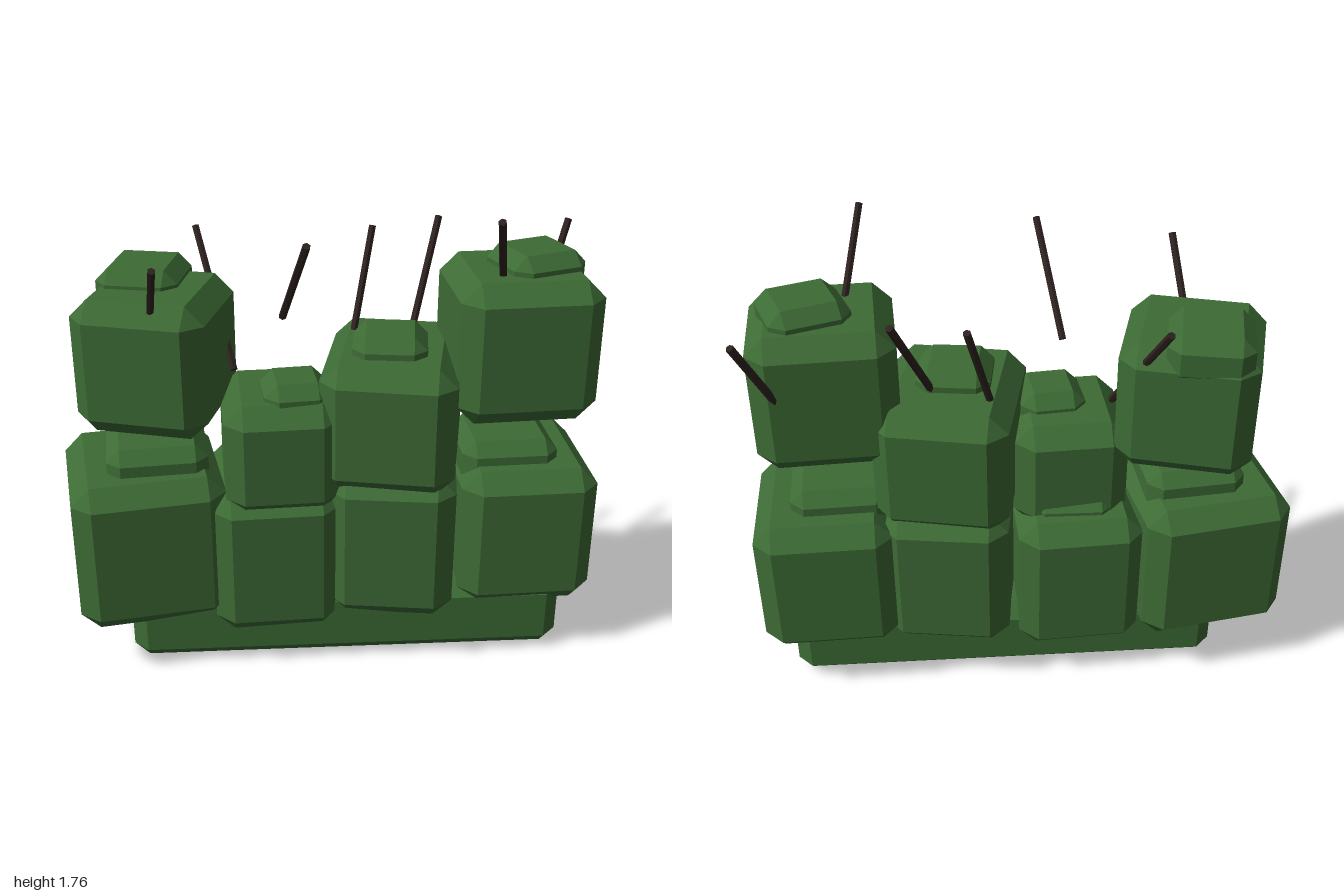
import * as THREE from 'three';
import { ConvexGeometry } from 'three/addons/geometries/ConvexGeometry.js';

const leafMat = new THREE.MeshStandardMaterial({ color: 0x3d6b35, flatShading: true });
const twigMat = new THREE.MeshStandardMaterial({ color: 0x2e2220, flatShading: true });

// Box with all edges cut at 45 degrees
function chamferBox(w, h, d, c) {
  const pts = [];
  for (const sx of [-0.5, 0.5]) for (const sy of [-0.5, 0.5]) for (const sz of [-0.5, 0.5]) {
    const x = sx * w, y = sy * h, z = sz * d;
    const cx = sx * 2 * c, cy = sy * 2 * c, cz = sz * 2 * c;
    pts.push(
      new THREE.Vector3(x, y - cy, z - cz),
      new THREE.Vector3(x - cx, y, z - cz),
      new THREE.Vector3(x - cx, y - cy, z));
  }
  return new ConvexGeometry(pts);
}

// Leaf block standing between y0 and y1, turned about the vertical
function leafBlock(name, x, z, y0, y1, w, d, yaw, chamfer) {
  const mesh = new THREE.Mesh(chamferBox(w, y1 - y0, d, chamfer), leafMat);
  mesh.position.set(x, (y0 + y1) / 2, z);
  mesh.rotation.y = yaw;
  mesh.name = name;
  return mesh;
}

// Thin six-sided stick between two points
function twig(from, to) {
  const a = new THREE.Vector3(...from), b = new THREE.Vector3(...to);
  const dir = b.clone().sub(a);
  const mesh = new THREE.Mesh(new THREE.CylinderGeometry(0.014, 0.014, dir.length(), 6), twigMat);
  mesh.position.copy(a).add(b).multiplyScalar(0.5);
  mesh.quaternion.setFromUnitVectors(new THREE.Vector3(0, 1, 0), dir.normalize());
  mesh.name = 'twig';
  return mesh;
}

export function createModel() {
  const hedge = new THREE.Group();
  hedge.name = 'hedge';

  hedge.add(leafBlock('hedgeBase', 0.07, 0.007, 0, 0.3, 1.64, 0.455, 0, 0.055));

  // Each clump: block [x, z, y0, y1, w, d, yaw], cap [x, z, top, w, d, yaw]
  const clumps = {
    lowerClump: [
      [[-0.69, 0, 0.19, 0.78, 0.56, 0.6, 0.165], [-0.635, 0, 0.87, 0.37, 0.36, 0.1]],
      [[-0.205, 0, 0.14, 0.72, 0.47, 0.58, 0.05], [-0.19, 0, 0.78, 0.31, 0.38, -0.02]],
      [[0.26, 0, 0.19, 0.78, 0.47, 0.6, -0.14], [0.26, 0, 0.84, 0.3, 0.34, -0.1]],
      [[0.738, -0.025, 0.21, 0.77, 0.51, 0.58, 0.03], [0.675, -0.015, 0.85, 0.36, 0.34, 0.04]],
    ],
    upperClump: [
      [[-0.615, -0.035, 0.93, 1.43, 0.49, 0.5, -0.27], [-0.65, -0.145, 1.49, 0.3, 0.31, -0.2]],
      [[-0.175, 0.06, 0.64, 1.07, 0.42, 0.46, 0.05], [-0.118, 0.1, 1.13, 0.24, 0.25, 0.1]],
      [[0.25, 0.01, 0.72, 1.21, 0.49, 0.6, -0.2], [0.23, 0.045, 1.28, 0.27, 0.27, -0.13]],
      [[0.692, 0.025, 0.975, 1.5, 0.51, 0.5, 0.06], [0.745, 0.01, 1.565, 0.29, 0.28, 0.35]],
    ],
  };
  for (const [name, list] of Object.entries(clumps)) {
    for (const [block, [x, z, top, w, d, yaw]] of list) {
      const clump = new THREE.Group();
      clump.name = name;
      clump.add(leafBlock('leafBlock', ...block, 0.068));
      clump.add(leafBlock('leafCap', x, z, top - 0.18, top, w, d, yaw, 0.048));
      hedge.add(clump);
    }
  }

  // Bare twigs poking out of the upper leaves
  const twigs = [
    [[-0.61, 1.405, 0.17], [-0.583, 1.605, 0.33]],
    [[-0.335, 1.11, -0.01], [-0.467, 1.555, -0.345]],
    [[-0.157, 1.335, 0.05], [-0.083, 1.68, 0.335]],
    [[0.11, 1.19, -0.13], [0.192, 1.56, -0.29]],
    [[0.31, 1.19, -0.05], [0.44, 1.59, -0.295]],
    [[0.622, 1.43, 0.07], [0.547, 1.75, 0.34]],
    [[0.84, 1.28, -0.22], [0.943, 1.56, -0.335]],
  ];
  for (const [from, to] of twigs) hedge.add(twig(from, to));

  return hedge;
}
